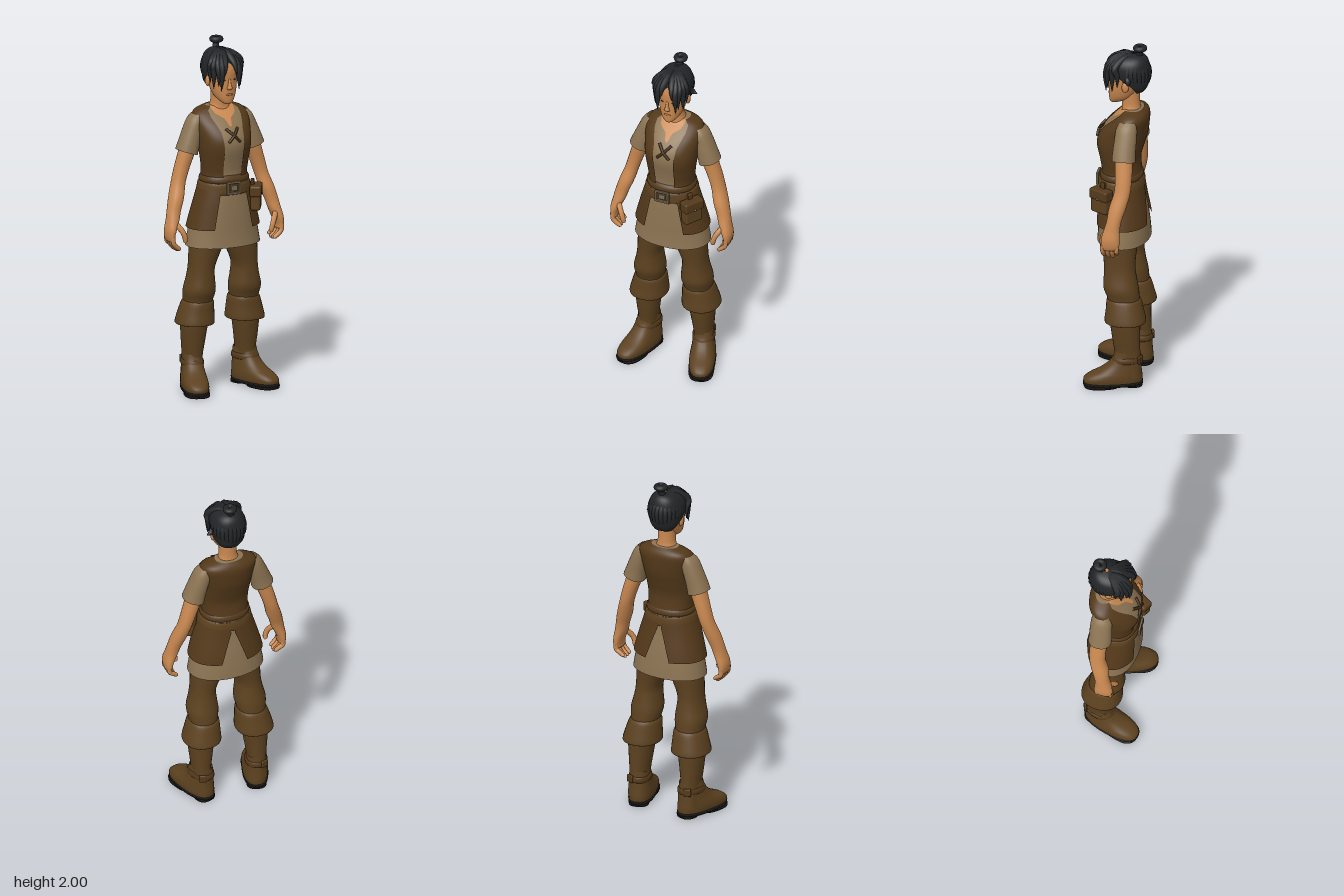
import * as THREE from 'three';
import { RoundedBoxGeometry } from 'three/addons/geometries/RoundedBoxGeometry.js';

const mat = (name, color) => {
  const m = new THREE.MeshStandardMaterial({ color, side: THREE.DoubleSide });
  m.name = name;
  return m;
};
const V = (x, y, z) => new THREE.Vector3(x, y, z);
const spline = (a, b, c, d, t) =>
  0.5 * (2 * b + (c - a) * t + (2 * a - 5 * b + 4 * c - d) * t * t + (3 * b - a - 3 * c + d) * t * t * t);

// Angle from the front at which a ring of half-width rx reaches x = w
const reach = (w, rx) => Math.asin(Math.min(0.97, w / rx));
// Straight-line lookup in [[y, value], ...], ascending y
const lookup = (table) => (y) => {
  if (y <= table[0][0]) return table[0][1];
  for (let i = 1; i < table.length; i++) {
    const [y0, a] = table[i - 1], [y1, b] = table[i];
    if (y <= y1) return a + (b - a) * (y - y0) / (y1 - y0);
  }
  return table[table.length - 1][1];
};

// Smooth skin over horizontal rings [y, centreX, centreZ, radiusX, radiusZ], bottom to top.
// side mirrors in x; arc(y, rx) limits the ring to a range of angles; tilt slants each ring.
function loft(rings, { side = 1, n = 28, steps = 4, grow = 0, arc = null, tilt = 0, cap = false, e = 0.92 } = {}) {
  const rows = [];
  for (let i = 0; i < rings.length - 1; i++) {
    const at = (k) => rings[Math.max(0, Math.min(rings.length - 1, k))];
    for (let s = 0; s < steps; s++)
      rows.push(rings[i].map((_, k) => spline(at(i - 1)[k], at(i)[k], at(i + 1)[k], at(i + 2)[k], s / steps)));
  }
  rows.push(rings[rings.length - 1]);
  const pos = [], idx = [], cols = arc ? n + 1 : n;
  const bend = (v) => Math.sign(v) * Math.abs(v) ** e;
  for (const [y, cx, cz, rx, rz] of rows) {
    const [t0, t1] = arc ? arc(y, rx) : [0, Math.PI * 2];
    for (let j = 0; j < cols; j++) {
      const t = side > 0 ? t0 + (t1 - t0) * j / n : -t1 + (t1 - t0) * j / n;
      const dx = (rx + grow) * bend(Math.sin(t));
      pos.push(cx * side + dx, y + tilt * side * dx, cz + (rz + grow) * bend(Math.cos(t)));
    }
  }
  for (let i = 0; i < rows.length - 1; i++)
    for (let j = 0; j < n; j++) {
      const a = i * cols + j, b = i * cols + (j + 1) % cols;
      idx.push(a, b, a + cols, b, b + cols, a + cols);
    }
  if (cap) {
    const last = (rows.length - 1) * cols, c = pos.length / 3;
    for (const r of [rows[0], rows[rows.length - 1]]) pos.push(r[1] * side, r[0], r[2]);
    for (let j = 0; j < n; j++) {
      idx.push(c, (j + 1) % cols, j);
      idx.push(c + 1, last + j, last + (j + 1) % cols);
    }
  }
  const g = new THREE.BufferGeometry();
  g.setAttribute('position', new THREE.Float32BufferAttribute(pos, 3));
  g.setIndex(idx);
  g.computeVertexNormals();
  return g;
}

// Tube whose radius follows width(u)
function taper(points, width, seg = 14, sides = 8) {
  const curve = new THREE.CatmullRomCurve3(points);
  const g = new THREE.TubeGeometry(curve, seg, 1, sides);
  const p = g.attributes.position, v = V(0, 0, 0);
  for (let k = 0; k < p.count; k++) {
    const u = Math.floor(k / (sides + 1)) / seg, c = curve.getPointAt(u);
    v.fromBufferAttribute(p, k).sub(c).multiplyScalar(width(u)).add(c);
    p.setXYZ(k, v.x, v.y, v.z);
  }
  return g;
}
const lockWidth = (r) => (u) => r * Math.sin(Math.PI * (0.2 + 0.79 * u));
const fingerWidth = (r) => (u) => r * (u < 0.8 ? 1 - 0.15 * u : 0.88 * Math.sqrt(Math.max(0, 1 - ((u - 0.8) / 0.2) ** 2)));

export function createModel() {
  const model = new THREE.Group();
  const skin = mat('skin', 0xc98850), hair = mat('hair black', 0x222527), vest = mat('vest brown', 0x54391a);
  const leather = mat('boot leather', 0x5c411f), shirt = mat('linen', 0x8c7453), sole = mat('sole black', 0x1d1b1a);
  const metal = mat('buckle metal', 0x7d6c55), cord = mat('dark cord', 0x452d14), lip = mat('lip', 0xa9683f);
  const add = (name, geo, material, parent = model) => {
    const m = new THREE.Mesh(geo, material);
    m.name = name;
    parent.add(m);
    return m;
  };
  const ball = (name, material, p, s) => {
    const m = add(name, new THREE.SphereGeometry(1, 16, 12), material);
    m.position.set(...p);
    m.scale.set(...s);
  };

  // Torso, neckline and vest
  const torso = [[1.2, 0, -0.005, 0.13, 0.112], [1.25, 0, -0.005, 0.124, 0.104], [1.32, 0, 0.002, 0.131, 0.107],
    [1.4, 0, 0, 0.142, 0.126], [1.46, 0, -0.012, 0.148, 0.131], [1.52, 0, -0.035, 0.156, 0.116],
    [1.57, 0, -0.062, 0.156, 0.091], [1.6, 0, -0.074, 0.13, 0.068], [1.62, 0, -0.074, 0.075, 0.048]];
  add('shirtBody', loft(torso, { n: 40, cap: true }), shirt);
  const neckline = lookup([[1.525, 0.006], [1.56, 0.016], [1.585, 0.055], [1.62, 0.07]]);
  add('necklineSkin', loft(torso.slice(5), {
    n: 12, grow: 0.003, steps: 6,
    arc: (y, rx) => { const a = y < 1.525 ? 0 : reach(neckline(y), rx); return [-a, a]; },
  }), skin);
  const opening = lookup([[1.2, 0.048], [1.4, 0.052], [1.5, 0.06], [1.57, 0.085], [1.6, 0.085], [1.62, 0.06]]);
  add('vest', loft(torso, {
    n: 48, grow: 0.007, steps: 5, arc: (y, rx) => { const a = reach(opening(y), rx); return [a, Math.PI * 2 - a]; },
  }), vest);
  for (const s of [1, -1])
    add('lacing', taper([V(-0.036 * s, 1.512, 0.09), V(0, 1.476, 0.122), V(0.036 * s, 1.44, 0.128)], () => 0.008), cord);

  // Tunic skirt and split vest panels
  const skirt = [[0.835, 0, -0.02, 0.219, 0.147], [0.9, 0, -0.02, 0.208, 0.142], [1, 0, -0.015, 0.188, 0.135],
    [1.1, 0, -0.008, 0.16, 0.124], [1.2, 0, -0.005, 0.13, 0.114]];
  add('tunicSkirt', loft(skirt, { n: 40 }), shirt);
  const panel = [[0.94, 0, -0.018, 0.203, 0.141], ...skirt.slice(2)];
  const frontGap = lookup([[0.94, 0.105], [1.14, 0.07]]), backGap = lookup([[0.94, 0.065], [1.13, 0.008]]);
  for (const s of [1, -1])
    add('skirtPanel', loft(panel, {
      side: s, grow: 0.012, arc: (y, rx) => [reach(frontGap(y), rx), Math.PI - reach(backGap(y), rx)],
    }), vest);

  // Waist sash, belt and buckle
  add('sash', loft([[1.195, 0, -0.005, 0.132, 0.115], [1.21, 0, -0.005, 0.142, 0.121], [1.23, 0, -0.005, 0.138, 0.117],
    [1.245, 0, -0.005, 0.124, 0.104]], { n: 36 }), vest);
  add('belt', loft([[1.135, 0, -0.006, 0.145, 0.118], [1.142, 0, -0.006, 0.155, 0.129], [1.17, 0, -0.006, 0.152, 0.13],
    [1.198, 0, -0.005, 0.145, 0.126], [1.205, 0, -0.005, 0.132, 0.114]], { n: 36 }), leather);
  const buckle = new THREE.Group();
  buckle.name = 'beltBuckle';
  buckle.position.set(-0.005, 1.178, 0.128);
  model.add(buckle);
  for (const s of [1, -1]) {
    add('buckleBar', new RoundedBoxGeometry(0.086, 0.013, 0.014, 2, 0.004), metal, buckle).position.y = 0.031 * s;
    add('buckleSide', new RoundedBoxGeometry(0.013, 0.07, 0.014, 2, 0.004), metal, buckle).position.x = 0.037 * s;
  }
  add('bucklePlate', new RoundedBoxGeometry(0.04, 0.032, 0.012, 2, 0.004), metal, buckle);

  // Hip pouch
  const pouch = new THREE.Group();
  pouch.name = 'pouch';
  pouch.position.set(0.157, 1.098, 0.083);
  pouch.rotation.y = 1.02;
  model.add(pouch);
  add('pouchBag', new RoundedBoxGeometry(0.115, 0.125, 0.055, 3, 0.014), leather, pouch).position.y = -0.005;
  add('pouchFlap', new RoundedBoxGeometry(0.128, 0.062, 0.066, 3, 0.012), vest, pouch).position.y = 0.043;
  const stud = add('pouchStud', new THREE.SphereGeometry(0.007, 10, 8), metal, pouch);
  stud.position.set(0, 0.022, 0.033);
  add('pouchLoop', new RoundedBoxGeometry(0.03, 0.07, 0.02, 2, 0.005), vest, pouch).position.set(0, 0.07, -0.02);

  for (const s of [1, -1]) {
    // Sleeves, arms and hands
    add('sleeve', loft([[1.37, 0.208, -0.055, 0.06, 0.066], [1.42, 0.193, -0.055, 0.055, 0.064],
      [1.48, 0.173, -0.058, 0.05, 0.062], [1.54, 0.15, -0.06, 0.045, 0.058], [1.575, 0.135, -0.065, 0.03, 0.045]],
    { side: s, tilt: 0.32 }), shirt);
    add('arm', loft([[0.885, 0.338, 0, 0.016, 0.044], [0.91, 0.341, -0.004, 0.021, 0.051], [0.95, 0.335, -0.004, 0.029, 0.052],
      [1, 0.319, -0.01, 0.035, 0.045], [1.05, 0.306, -0.02, 0.038, 0.042], [1.12, 0.284, -0.035, 0.042, 0.048],
      [1.2, 0.26, -0.056, 0.039, 0.046], [1.28, 0.236, -0.06, 0.042, 0.047], [1.36, 0.21, -0.057, 0.045, 0.05],
      [1.44, 0.19, -0.055, 0.043, 0.05]], { side: s, cap: true, n: 20 }), skin);
    for (let i = 0; i < 4; i++) {
      const z = -0.039 + i * 0.026, drop = i === 0 ? 0.014 : i === 3 ? 0.005 : 0;
      add('finger', taper([V(0.341 * s, 0.915, z), V(0.338 * s, 0.878, z), V(0.318 * s, 0.85 + drop, z * 0.95),
        V(0.29 * s, 0.828 + drop, z * 0.85)], fingerWidth(0.0145)), skin);
    }
    add('thumb', taper([V(0.312 * s, 0.98, 0.02), V(0.288 * s, 0.945, 0.046), V(0.274 * s, 0.91, 0.054),
      V(0.268 * s, 0.872, 0.048)], fingerWidth(0.0165)), skin);

    // Trousers, boot shafts and turned-down cuffs
    add('trouserLeg', loft([[0.45, 0.15, -0.05, 0.07, 0.085], [0.52, 0.144, -0.042, 0.08, 0.09], [0.58, 0.142, -0.028, 0.088, 0.098],
      [0.65, 0.138, -0.022, 0.076, 0.091], [0.72, 0.133, -0.018, 0.071, 0.088], [0.85, 0.105, -0.016, 0.094, 0.1],
      [0.98, 0.092, -0.018, 0.092, 0.104]], { side: s }), leather);
    add('bootShaft', loft([[0.06, 0.168, -0.073, 0.058, 0.075], [0.14, 0.167, -0.07, 0.054, 0.073], [0.2, 0.166, -0.068, 0.053, 0.072],
      [0.3, 0.164, -0.06, 0.065, 0.079], [0.4, 0.16, -0.054, 0.075, 0.086], [0.5, 0.152, -0.048, 0.072, 0.085]],
    { side: s }), leather);
    add('bootCuff', loft([[0.4, 0.158, -0.055, 0.07, 0.08], [0.385, 0.157, -0.055, 0.1, 0.108], [0.392, 0.157, -0.055, 0.108, 0.116],
      [0.45, 0.151, -0.051, 0.099, 0.106], [0.505, 0.144, -0.045, 0.088, 0.097], [0.52, 0.143, -0.043, 0.078, 0.086]],
    { side: s }), leather);

    // Feet, turned outward
    const foot = new THREE.Group();
    foot.name = 'foot';
    foot.position.set(0.165 * s, 0, -0.07);
    foot.rotation.y = 0.3 * s;
    model.add(foot);
    add('shoeUpper', loft([[0.022, 0, 0.082, 0.07, 0.164], [0.05, 0, 0.082, 0.073, 0.165], [0.075, 0, 0.068, 0.071, 0.149],
      [0.1, 0, 0.042, 0.066, 0.12], [0.13, 0, 0.02, 0.061, 0.096], [0.17, 0, 0.005, 0.056, 0.078], [0.21, 0, 0, 0.052, 0.07]],
    { e: 0.8, n: 32 }), leather);
    add('welt', loft([[0.012, 0, 0.082, 0.072, 0.167], [0.03, 0, 0.082, 0.074, 0.168]], { e: 0.8, n: 32, steps: 1, cap: true }), sole);
    add('frontSole', loft([[0, 0, 0.145, 0.07, 0.1], [0.014, 0, 0.145, 0.072, 0.103]], { e: 0.8, steps: 1, cap: true }), sole);
    add('heel', loft([[0, 0, -0.028, 0.056, 0.053], [0.014, 0, -0.028, 0.057, 0.055]], { e: 0.8, steps: 1, cap: true }), sole);
    const strap = [[0.142, 0, 0.006, 0.055, 0.08], [0.148, 0, 0.005, 0.064, 0.088], [0.172, 0, 0.002, 0.062, 0.084], [0.178, 0, 0, 0.053, 0.076]];
    add('ankleStrap', loft(strap, { steps: 2 }), vest, foot);
    for (const name of ['shoeUpper', 'welt', 'frontSole', 'heel'])
      model.children.filter((c) => c.name === name && c.parent === model).forEach((c) => foot.add(c));
    const clasp = add('strapBuckle', new RoundedBoxGeometry(0.042, 0.044, 0.016, 2, 0.006), vest, foot);
    clasp.position.set(0.042 * s, 0.164, -0.066);
    clasp.rotation.y = Math.PI - 0.6 * s;
  }

  // Neck, head and face
  add('neck', loft([[1.575, 0, -0.062, 0.078, 0.064], [1.61, 0, -0.061, 0.06, 0.054], [1.65, 0, -0.058, 0.049, 0.05],
    [1.74, 0, -0.055, 0.05, 0.052]]), skin);
  add('head', loft([[1.643, 0, 0.038, 0.016, 0.018], [1.655, 0, 0.026, 0.034, 0.037], [1.685, 0, 0, 0.057, 0.066],
    [1.73, 0, -0.018, 0.072, 0.085], [1.78, 0, -0.033, 0.08, 0.1], [1.84, 0, -0.035, 0.085, 0.104],
    [1.9, 0, -0.045, 0.07, 0.09], [1.93, 0, -0.05, 0.03, 0.04]], { cap: true }), skin);
  add('nose', loft([[1.728, 0, 0.064, 0.013, 0.01], [1.738, 0, 0.067, 0.016, 0.017], [1.755, 0, 0.066, 0.01, 0.014],
    [1.79, 0, 0.062, 0.007, 0.008]], { n: 14, cap: true }), skin);
  ball('mouth', lip, [0, 1.7, 0.063], [0.02, 0.007, 0.008]);
  for (const s of [1, -1]) {
    ball('eye', cord, [0.03 * s, 1.783, 0.058], [0.012, 0.005, 0.006]);
    ball('ear', skin, [0.084 * s, 1.765, -0.04], [0.011, 0.03, 0.02]);
  }

  // Hair cap with gathered strands running up to the knot
  add('hairCap', loft([[1.725, 0, -0.075, 0.062, 0.06], [1.76, 0, -0.065, 0.086, 0.09], [1.82, 0, -0.055, 0.098, 0.108],
    [1.87, 0, -0.05, 0.098, 0.112], [1.91, 0, -0.055, 0.082, 0.096], [1.935, 0, -0.065, 0.05, 0.062], [1.945, 0, -0.07, 0.01, 0.012]], {
    arc: (y) => { const a = lookup([[1.72, 2], [1.78, 1.6], [1.84, 0.9], [1.875, 0]])(y); return [a, Math.PI * 2 - a]; },
  }), hair);
  for (let i = 0; i < 17; i++) {
    const th = 1.25 + i * (Math.PI * 2 - 2.5) / 16;
    const low = -0.2 - 0.6 * Math.max(0, -Math.cos(th)), pts = [];
    for (let k = 0; k < 6; k++) {
      const f = 1.35 + (low - 1.35) * k / 5;
      pts.push(V(0.09 * Math.cos(f) * Math.sin(th), 1.815 + 0.116 * Math.sin(f), -0.058 + 0.098 * Math.cos(f) * Math.cos(th)));
    }
    add('backStrand', taper(pts, lockWidth(0.021), 14, 7), hair);
  }

  // Parted fringe hanging beside the face: [x at brow, x at tip, tip height, tip z]
  const fringe = [[0.028, 0.04, 1.81, 0.082], [0.046, 0.055, 1.725, 0.074], [0.064, 0.066, 1.75, 0.062],
    [0.08, 0.084, 1.735, 0.035], [0.092, 0.09, 1.765, 0.005]];
  for (const s of [1, -1])
    fringe.forEach(([x, tip, y, z], i) => add('fringeLock', taper([V(0.012 * s, 1.93, -0.06), V(0.5 * x * s, 1.922, 0.012 - i * 0.008),
      V(x * s, 1.878, 0.068 - i * 0.012), V((x + tip) / 2 * s, 1.835, z), V(tip * s, y, z)], lockWidth(0.022)), hair));
  add('strayLock', taper([V(0.085, 1.83, -0.05), V(0.105, 1.805, -0.06), V(0.128, 1.796, -0.064)], lockWidth(0.016)), hair);

  // Top knot
  const knot = add('topKnot', new THREE.TorusGeometry(0.023, 0.017, 10, 20), hair);
  knot.position.set(0.008, 1.98, -0.11);
  knot.rotation.x = Math.PI / 2;
  add('knotStem', taper([V(0, 1.925, -0.1), V(0.004, 1.955, -0.108), V(0.008, 1.985, -0.11)], (u) => 0.024 - 0.012 * u), hair);
  add('knotWrap', taper([V(-0.02, 1.978, -0.1), V(0.005, 1.984, -0.125), V(0.035, 1.98, -0.105)], lockWidth(0.016)), hair);
  return model;
}
